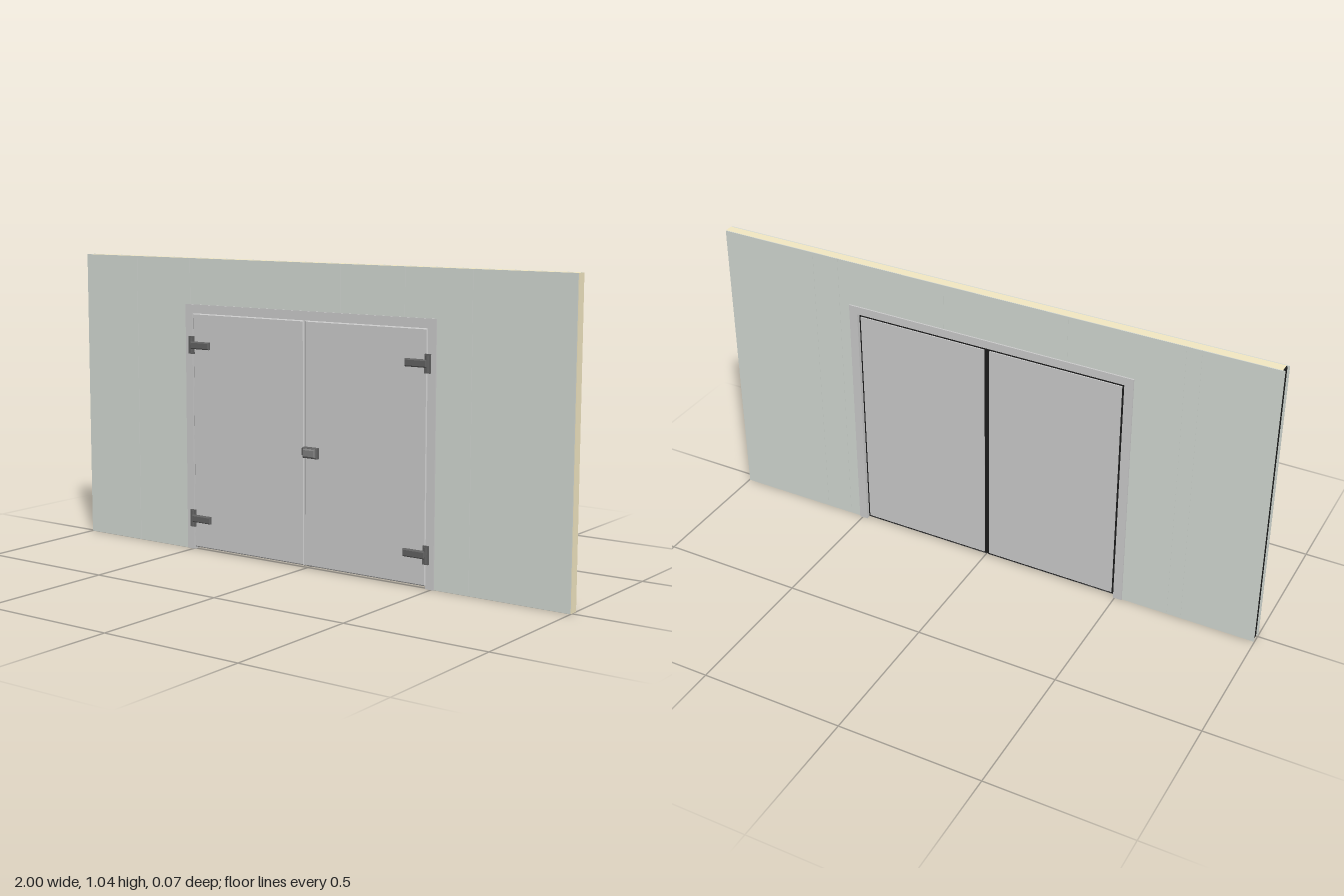
import * as THREE from 'three';

const material = (color) => new THREE.MeshStandardMaterial({ color, flatShading: true });
const SKIN = material(0xd3d9d3), FOAM = material(0xf2e7c2), STEEL = material(0xc7c7c7);
const TRIM = material(0xcecfcf), DARK = material(0x626262), GRIP = material(0x808080);
const RUBBER = material(0x1c1c1c);

// Opening in the wall and overall wall size
const L = -0.5, R = 0.485, HEAD = 0.852, H = 1.037, MID = (L + R) / 2;

// Box given by its limits on each axis
function box(parent, name, mat, x0, x1, y0, y1, z0, z1) {
  const mesh = new THREE.Mesh(new THREE.BoxGeometry(x1 - x0, y1 - y0, z1 - z0), mat);
  mesh.position.set((x0 + x1) / 2, (y0 + y1) / 2, (z0 + z1) / 2);
  mesh.name = name;
  parent.add(mesh);
}

// Outline extruded from z0 to z1
function plate(parent, name, mat, points, z0, z1, bevel = 0) {
  const shape = new THREE.Shape(points.map(([x, y]) => new THREE.Vector2(x, y)));
  const geo = new THREE.ExtrudeGeometry(shape, {
    depth: z1 - z0 - 2 * bevel, bevelEnabled: bevel > 0, bevelSegments: 1,
    bevelSize: bevel, bevelThickness: bevel, bevelOffset: -bevel,
  });
  geo.translate(0, 0, z0 + bevel);
  const mesh = new THREE.Mesh(geo, mat);
  mesh.name = name;
  parent.add(mesh);
}

const rect = (x0, x1, y0, y1) => [[x0, y0], [x1, y0], [x1, y1], [x0, y1]];

// Upside-down U around the opening
const portal = (x0, x1, top, ix0, ix1, itop) => [
  [x0, 0], [ix0, 0], [ix0, itop], [ix1, itop], [ix1, 0], [x1, 0], [x1, top], [x0, top],
];

// Metal sheets between seams, cut round the opening
function skin(parent, name, seams, z0, z1) {
  const gap = 0.0008;
  for (let i = 0; i < seams.length - 1; i++) {
    const a = seams[i] + (i ? gap : 0);
    const b = seams[i + 1] - (i < seams.length - 2 ? gap : 0);
    if (a < L) box(parent, name, SKIN, a, Math.min(b, L), 0, H, z0, z1);
    if (b > R) box(parent, name, SKIN, Math.max(a, R), b, 0, H, z0, z1);
    const m0 = Math.max(a, L), m1 = Math.min(b, R);
    if (m1 > m0) box(parent, name, SKIN, m0, m1, HEAD, H, z0, z1);
  }
}

function buildWall() {
  const wall = new THREE.Group();
  wall.name = 'insulatedWall';
  plate(wall, 'foamCore', FOAM, portal(-0.99, 1, H, L, R, HEAD), -0.028, 0.004);
  // Metal lining that shows in the seams
  plate(wall, 'frontLining', SKIN, portal(-1, 0.998, H, L, R, HEAD), 0.004, 0.006);
  plate(wall, 'backLining', SKIN, portal(-0.998, 0.998, H, L, R, HEAD), -0.030, -0.028);
  skin(wall, 'frontSheet', [-1, -0.755, -0.507, 0.14, 0.39, 0.64, 0.998], 0.006, 0.008);
  skin(wall, 'backSheet', [-0.998, -0.74, -0.69, -0.295, 0.15, 0.55, 0.647, 0.998], -0.031, -0.030);
  // Dark joint seal in the grooved end
  box(wall, 'jointSeal', RUBBER, -0.994, -0.989, 0, H - 0.001, -0.026, 0.002);
  return wall;
}

function buildFrame() {
  const frame = new THREE.Group();
  frame.name = 'doorFrame';
  const outer = [MID - 0.518, MID + 0.518, 0.876];
  const inner = [L + 0.005, R - 0.005, HEAD - 0.004];
  plate(frame, 'frontTrim', TRIM, portal(...outer, ...inner), 0.008, 0.012);
  plate(frame, 'backTrim', TRIM, portal(...outer, ...inner), -0.036, -0.031);
  plate(frame, 'reveal', TRIM, portal(L, R, HEAD, ...inner), -0.031, 0.008);
  // Pale stop filling the gap round the leaves
  plate(frame, 'doorStop', TRIM, portal(L, R, HEAD, L + 0.0075, R - 0.0075, 0.8445), -0.002, 0.008);
  return frame;
}

// One leaf: bevelled front sheet, inset body, rubber seal round the back, dark sill underneath
function buildLeaf(name, x0, x1) {
  const leaf = new THREE.Group();
  leaf.name = name;
  const y0 = 0.008, y1 = 0.845;
  const outline = (d) => rect(x0 + d, x1 - d, y0 + d, y1 - d);
  plate(leaf, 'leafFront', STEEL, outline(0), -0.002, 0.011, 0.004);
  plate(leaf, 'leafBody', STEEL, outline(0.008), -0.031, -0.002);
  plate(leaf, 'leafSeal', RUBBER, outline(0.001), -0.027, -0.002);
  box(leaf, 'leafSill', DARK, x0 + 0.001, x1 - 0.001, 0.007, 0.010, -0.027, 0.004);
  return leaf;
}

// Hinge with the knuckle on the frame and an arm reaching over the leaf (dir = +1 towards +x)
function buildHinge(x, y, dir) {
  const hinge = new THREE.Group();
  hinge.name = 'hinge';
  const span = (a, b) => (dir > 0 ? [a, b] : [-b, -a]);
  box(hinge, 'hingePlate', DARK, ...span(-0.011, 0.011), -0.031, 0.031, 0.011, 0.018);
  const pin = new THREE.Mesh(new THREE.CylinderGeometry(0.007, 0.007, 0.054, 12), DARK);
  pin.position.z = 0.015;
  pin.name = 'hingePin';
  hinge.add(pin);
  plate(hinge, 'hingeArm', DARK, rect(...span(0, 0.084), -0.013, 0.013), 0.01, 0.025, 0.004);
  hinge.position.set(x, y, 0);
  return hinge;
}

function buildLatch() {
  const latch = new THREE.Group();
  latch.name = 'latch';
  box(latch, 'keeper', DARK, -0.013, 0, 0.39, 0.414, 0.01, 0.019);
  plate(latch, 'latchBase', DARK, rect(-0.003, 0.057, 0.383, 0.42), 0.01, 0.028, 0.003);
  plate(latch, 'latchHandle', GRIP, rect(0.003, 0.053, 0.387, 0.416), 0.024, 0.037, 0.004);
  return latch;
}

export function createModel() {
  const model = new THREE.Group();
  model.name = 'wallWithDoubleDoor';
  model.add(buildWall(), buildFrame());
  model.add(buildLeaf('rightLeaf', L + 0.007, MID - 0.0015), buildLeaf('leftLeaf', MID + 0.0015, R - 0.007));
  // Strips closing the gap between the leaves: pale in front, rubber behind
  box(model, 'meetingStrip', TRIM, MID - 0.006, MID + 0.006, 0.01, 0.843, -0.001, 0.008);
  box(model, 'meetingSeal', RUBBER, MID - 0.007, MID + 0.007, 0.01, 0.843, -0.026, -0.001);
  for (const y of [0.733, 0.113]) {
    model.add(buildHinge(-0.497, y, 1), buildHinge(0.482, y, -1));
  }
  model.add(buildLatch());
  return model;
}
